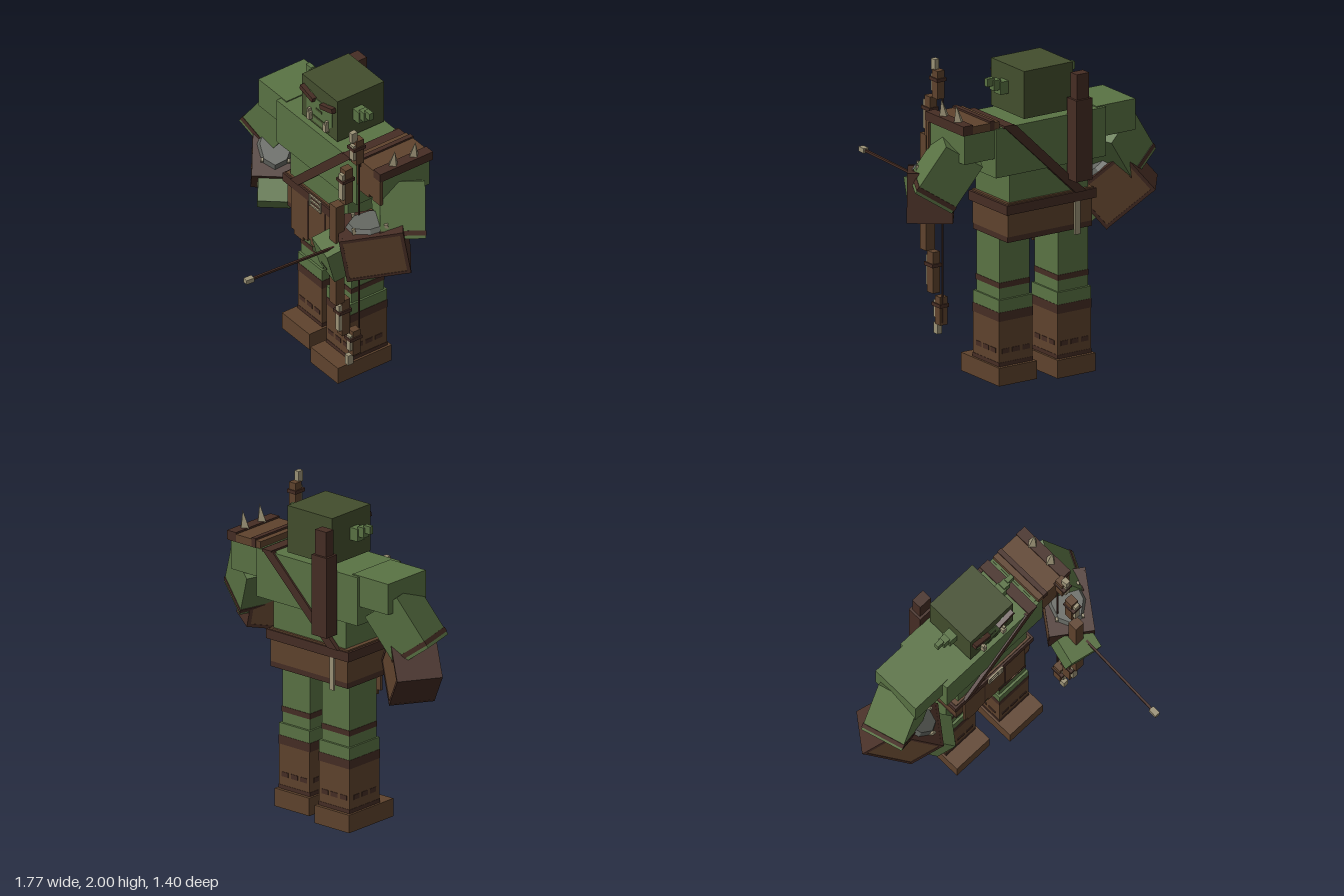
import * as THREE from 'three';

const mat = (name, color) => {
  const m = new THREE.MeshStandardMaterial({ color });
  m.name = name;
  return m;
};

export function createModel() {
  const root = new THREE.Group();
  root.name = 'greenArcher';
  const skin = mat('skin', 0x5a7344), darkSkin = mat('dark skin', 0x434e2d);
  const leather = mat('leather', 0x5f432d), darkLeather = mat('dark leather', 0x462d24);
  const bone = mat('bone', 0x9c9377), stone = mat('stone', 0x62655f);
  const MID = 0.035; // body centre line in x

  const add = (parent, name, geo, m) => {
    const mesh = new THREE.Mesh(geo, m);
    mesh.name = name;
    parent.add(mesh);
    return mesh;
  };
  // box from min/max bounds
  const box = (name, m, x0, x1, y0, y1, z0, z1, parent = root) => {
    const mesh = add(parent, name, new THREE.BoxGeometry(x1 - x0, y1 - y0, z1 - z0), m);
    mesh.position.set((x0 + x1) / 2, (y0 + y1) / 2, (z0 + z1) / 2);
    return mesh;
  };
  // box centred on a point in a parent
  const cbox = (parent, name, m, size, pos) => {
    const mesh = add(parent, name, new THREE.BoxGeometry(...size), m);
    mesh.position.set(...pos);
    return mesh;
  };
  // group whose y axis follows yDir and whose z axis leans to zDir
  const frame = (name, pos, yDir, zDir) => {
    const g = new THREE.Group();
    const y = new THREE.Vector3(...yDir).normalize();
    const x = new THREE.Vector3().crossVectors(y, new THREE.Vector3(...zDir)).normalize();
    const z = new THREE.Vector3().crossVectors(x, y);
    g.quaternion.setFromRotationMatrix(new THREE.Matrix4().makeBasis(x, y, z));
    g.position.set(...pos);
    g.name = name;
    root.add(g);
    return g;
  };
  // flat outline in x and y, with a depth in z
  const plate = (name, m, pts, z, depth) => {
    const shape = new THREE.Shape(pts.map(p => new THREE.Vector2(...p)));
    const mesh = add(root, name, new THREE.ExtrudeGeometry(shape, { depth, bevelEnabled: false }), m);
    mesh.position.z = z;
    return mesh;
  };

  // torso
  box('chest', skin, -0.37, 0.44, 1.35, 1.66, -0.605, -0.205);
  box('belly', skin, -0.255, 0.325, 1.13, 1.35, -0.58, -0.225);
  box('belt', darkLeather, -0.30, 0.362, 1.1, 1.16, -0.607, -0.2);
  box('beltTop', leather, -0.285, 0.345, 1.155, 1.17, -0.595, -0.212);
  box('skirt', leather, -0.277, 0.343, 0.955, 1.1, -0.59, -0.218);
  box('skirtHem', darkLeather, -0.277, 0.343, 0.92, 0.955, -0.588, -0.22);

  // loincloth panels
  [-0.135, MID, 0.207].forEach((x, i) => {
    const w = 0.083, b = i === 1 ? 0.785 : 0.765, s = i === 2 ? -1 : 1;
    plate('loinclothPanel', leather, [[x - w, 1.1], [x - w, b + 0.03], [x - s * 0.055, b + 0.03],
      [x - s * 0.055, b], [x + s * 0.035, b], [x + s * 0.035, b + 0.025], [x + w, b + 0.025], [x + w, 1.1]]
      .sort((p, q) => 0), -0.218, 0.015);
    if (i) box('panelSeam', darkLeather, x - w - 0.005, x - w + 0.004, 0.81, 1.1, -0.21, -0.201);
  });
  box('innerFlap', darkSkin, -0.024, 0.094, 0.73, 0.95, -0.232, -0.22);

  // buckle
  for (const x of [-0.018, 0.088]) box('buckleSide', bone, x - 0.006, x + 0.006, 1.087, 1.168, -0.2, -0.188);
  for (const y of [1.093, 1.128, 1.162]) box('buckleBar', bone, -0.018, 0.088, y - 0.005, y + 0.005, -0.2, -0.19);
  box('backTag', bone, -0.18, -0.145, 0.89, 1.1, -0.606, -0.592);

  // chest strap, front, back and over the shoulder
  const strap = [[0.3, 1.665], [-0.22, 1.16], [-0.14, 1.16], [0.385, 1.665]];
  plate('strapFront', darkLeather, strap, -0.217, 0.022);
  plate('strapBack', darkLeather, strap, -0.618, 0.03);
  box('strapTop', darkLeather, 0.315, 0.385, 1.655, 1.672, -0.618, -0.195);

  // quiver
  box('quiver', darkLeather, -0.205, -0.085, 1.255, 1.77, -0.7, -0.602);
  box('quiverTop', darkLeather, -0.19, -0.1, 1.77, 1.93, -0.685, -0.617);

  // head and face
  box('head', darkSkin, -0.145, 0.215, 1.68, 1.98, -0.58, -0.23);
  plate('face', skin, [[-0.06, 1.7], [0.13, 1.7], [0.13, 1.73], [0.165, 1.76], [0.165, 1.87], [0.13, 1.91],
    [0.07, 1.88], [0, 1.88], [-0.06, 1.91], [-0.095, 1.87], [-0.095, 1.76], [-0.06, 1.73]], -0.23, 0.004);
  box('mouth', darkSkin, -0.035, 0.105, 1.735, 1.75, -0.228, -0.222);
  box('nose', darkSkin, 0.005, 0.065, 1.8, 1.815, -0.228, -0.222);
  for (const s of [-1, 1]) {
    const m = (name, mt, a, b, ...r) => box(name, mt, MID + Math.min(s * a, s * b), MID + Math.max(s * a, s * b), ...r);
    const brow = cbox(root, 'brow', darkLeather, [0.13, 0.032, 0.03], [MID + s * 0.1, 1.89, -0.215]);
    brow.rotation.z = s * 0.27;
    m('eye', bone, 0.075, 0.105, 1.855, 1.867, -0.228, -0.222);
    m('tusk', bone, 0.068, 0.096, 1.71, 1.765, -0.228, -0.2);
    m('tuskTip', bone, 0.08, 0.096, 1.765, 1.785, -0.228, -0.205);
    m('earBase', skin, 0.175, 0.24, 1.8, 1.88, -0.415, -0.345);
    m('earMiddle', skin, 0.23, 0.28, 1.83, 1.895, -0.405, -0.355);
    m('earTip', skin, 0.27, 0.322, 1.86, 1.91, -0.395, -0.365);
  }

  // legs and boots, one set a little back
  for (const [cx, dz] of [[-0.158, -0.07], [0.224, 0]]) {
    const ring = (name, m, w, y0, y1, z0, z1) => box(name, m, cx - w, cx + w, y0, y1, z0 + dz, z1 + dz);
    ring('thigh', skin, 0.111, 0.535, 0.96, -0.49, -0.245);
    ring('thighBand', darkLeather, 0.1135, 0.605, 0.64, -0.493, -0.242);
    ring('shin', skin, 0.123, 0.455, 0.535, -0.505, -0.23);
    ring('boot', leather, 0.123, 0.11, 0.455, -0.505, -0.23);
    ring('bootCuff', darkLeather, 0.125, 0.4, 0.457, -0.507, -0.228);
    ring('bootTrim', darkLeather, 0.125, 0.115, 0.14, -0.507, -0.228);
    ring('foot', leather, 0.139, 0, 0.115, -0.528, -0.122);
    for (const o of [-0.075, 0, 0.075]) {
      box('bootPatch', darkLeather, cx + o - 0.027, cx + o + 0.027, 0.195, 0.225, -0.508 + dz, -0.227 + dz);
      const z = -0.3675 + dz + o;
      box('bootPatchSide', darkLeather, cx - 0.126, cx + 0.126, 0.195, 0.225, z - 0.027, z + 0.027);
    }
  }

  // shoulders
  box('rightShoulder', skin, -0.6, -0.315, 1.47, 1.667, -0.585, -0.24);
  box('leftShoulder', skin, 0.4, 0.662, 1.47, 1.665, -0.59, -0.23);

  // pauldron with spikes
  box('pauldron', leather, 0.412, 0.677, 1.655, 1.705, -0.6, -0.208);
  for (const [a, b] of [[0.45, 0.482], [0.61, 0.68]]) box('pauldronStrip', darkLeather, a, b, 1.66, 1.717, -0.603, -0.205);
  plate('pauldronFront', leather, [[0.412, 1.66], [0.412, 1.51], [0.45, 1.51], [0.45, 1.475], [0.56, 1.475],
    [0.56, 1.5], [0.6, 1.5], [0.6, 1.48], [0.675, 1.48], [0.675, 1.66]], -0.228, 0.02);
  for (const z of [-0.335, -0.49]) {
    const spike = add(root, 'spike', new THREE.ConeGeometry(0.035, 0.115, 4).toNonIndexed(), bone);
    spike.geometry.computeVertexNormals();
    spike.position.set(0.645, 1.765, z);
    spike.rotation.z = -0.15;
  }

  // upper arms, y pointing back to the shoulder
  for (const [name, pos, y, z, len] of [
    ['rightUpperArm', [-0.585, 1.35, -0.4], [0.565, 0.81, -0.16], [0.275, 0, 0.96], 0.36],
    ['leftUpperArm', [0.645, 1.37, -0.37], [-0.14, 0.27, -0.1], [-0.4, 0, 0.9], 0.35]]) {
    const g = frame(name, pos, y, z);
    cbox(g, 'armBlock', skin, [0.265, len, 0.28], [0, 0, 0]);
    cbox(g, 'armBand', darkLeather, [0.272, 0.03, 0.287], [0, 0.035 - len / 2, 0]);
  }

  // bracers, y out of the back of the arm and z toward the hand
  const bracer = (name, pos, y, z) => {
    const g = frame(name, pos, y, z);
    cbox(g, 'bracer', leather, [0.275, 0.3, 0.39], [0, 0, 0]);
    for (const s of [-1, 1]) {
      cbox(g, 'bracerEdge', darkLeather, [0.281, 0.306, 0.022], [0, 0, s * 0.186]);
      cbox(g, 'bracerRim', darkLeather, [0.281, 0.02, 0.39], [0, s * 0.142, 0]);
    }
    const slab = add(g, 'stonePlate', new THREE.CylinderGeometry(0.115, 0.135, 0.03, 8).toNonIndexed(), stone);
    slab.geometry.computeVertexNormals();
    slab.scale.set(0.85, 1, 1.15);
    slab.position.y = 0.165;
    for (const [a, b] of [[-1, -1], [1, -1], [-1, 1], [1, 1]])
      cbox(g, 'bonePeg', bone, [0.016, 0.04, 0.022], [a * 0.08, 0.17, b * 0.1]);
    return g;
  };
  const rightArm = bracer('rightForearm', [-0.603, 1.072, -0.37], [0.537, 0.755, 0.374], [0.584, -0.655, 0.474]);
  cbox(rightArm, 'rightHand', skin, [0.2, 0.17, 0.18], [0, 0.02, 0.25]);
  bracer('leftForearm', [0.637, 1.18, -0.195], [-0.03, 0.3, 0.04], [-0.23, -0.05, 0.32]);
  const leftHand = frame('leftHand', [0.515, 1.125, 0.01], [0, 0.2, 0.055], [-0.19, 0, 0.98]);
  cbox(leftHand, 'fist', skin, [0.215, 0.215, 0.17], [0, 0, 0]);
  cbox(leftHand, 'fingerGap', darkSkin, [0.07, 0.012, 0.006], [-0.01, -0.06, 0.085]);

  // bow: grip, stepped limbs, bone tips and string
  const bx = 0.525;
  box('bowGrip', leather, bx - 0.035, bx + 0.03, 0.765, 1.5, -0.03, 0.035);
  for (const [y0, y1, z0, z1, band] of [[1.5, 1.755, -0.085, -0.027, 1.675], [1.76, 1.937, -0.167, -0.11, 1.88],
    [0.505, 0.765, -0.082, -0.022, 0.68], [0.322, 0.5, -0.16, -0.103, 0.445]]) {
    const c = band > 1 ? 0.54 : 0.515;
    box('bowLimb', leather, c - 0.026, c + 0.026, y0, y1, z0, z1);
    box('limbInlay', bone, c - 0.014, c + 0.022, y0 + 0.04, y1 - 0.03, z1, z1 + 0.02);
    box('limbBand', darkLeather, c - 0.034, c + 0.034, band - 0.011, band + 0.011, z0 - 0.008, z1 + 0.024);
  }
  box('upperTip', bone, 0.525, 0.557, 1.93, 2, -0.125, -0.085);
  box('lowerTip', bone, 0.497, 0.53, 0.255, 0.325, -0.115, -0.075);
  box('bowString', darkLeather, bx - 0.004, bx + 0.004, 0.34, 1.93, -0.164, -0.156);

  // arrow
  const arrow = frame('arrow', [0.548, 1.22, 0.27], [0, 1, -0.012], [-0.05, 0, 1]);
  cbox(arrow, 'arrowShaft', darkLeather, [0.014, 0.014, 0.8], [0, 0, 0]);
  cbox(arrow, 'arrowHead', bone, [0.036, 0.03, 0.056], [0, 0, 0.402]);
  return root;
}
